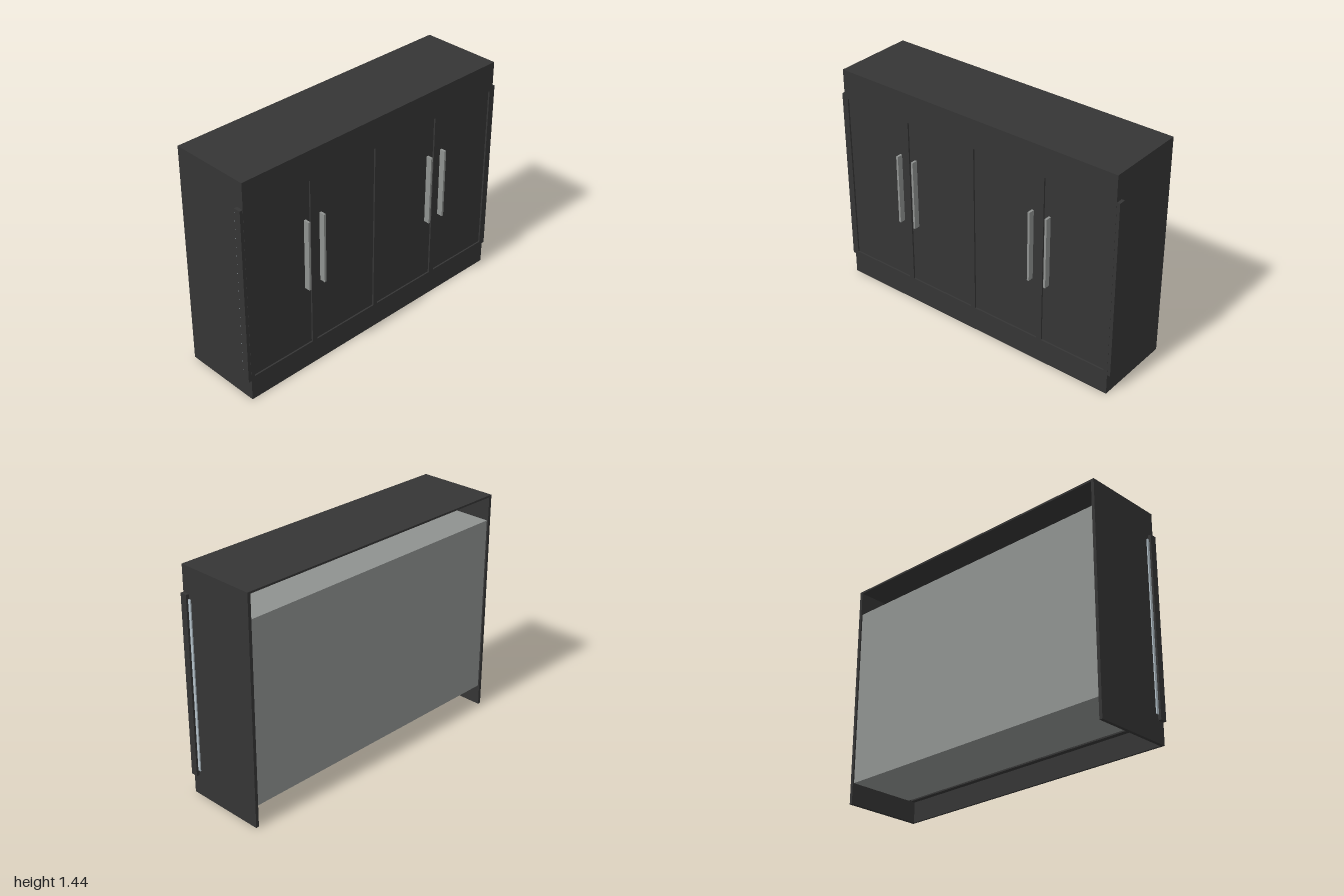
import * as THREE from 'three';

const black = new THREE.MeshStandardMaterial({ color: 0x353535 });
black.name = 'charcoal panel';
const grey = new THREE.MeshStandardMaterial({ color: 0x8f9290 });
grey.name = 'grey metal';
const pale = new THREE.MeshStandardMaterial({ color: 0xb3c0c8 });
pale.name = 'pale gasket';

// Box given by its lower and upper limits on each axis
function slab(name, material, [x0, x1], [y0, y1], [z0, z1]) {
  const mesh = new THREE.Mesh(new THREE.BoxGeometry(x1 - x0, y1 - y0, z1 - z0), material);
  mesh.position.set((x0 + x1) / 2, (y0 + y1) / 2, (z0 + z1) / 2);
  mesh.name = name;
  return mesh;
}

// Rectangular outline for the front board and its openings
function rectangle(path, x0, x1, y0, y1) {
  path.moveTo(x0, y0);
  path.lineTo(x1, y0);
  path.lineTo(x1, y1);
  path.lineTo(x0, y1);
  path.closePath();
  return path;
}

export function createModel() {
  const cabinet = new THREE.Group();
  cabinet.name = 'cabinet';
  const W = 0.98, H = 1.44, back = -0.275, boardBack = 0.235, front = 0.248;

  // Front board with four door openings
  const outline = rectangle(new THREE.Shape(), -W, W, 0, H);
  for (const [a, b] of [[-0.956, -0.512], [-0.476, -0.016], [0.016, 0.476], [0.512, 0.956]]) {
    outline.holes.push(rectangle(new THREE.Path(), a, b, 0.157, 1.253));
  }
  const board = new THREE.Mesh(
    new THREE.ExtrudeGeometry(outline, { depth: front - boardBack, bevelEnabled: false }), black);
  board.position.z = boardBack;
  board.name = 'frontBoard';
  cabinet.add(board);

  // Outer shell, open at the back and underneath
  cabinet.add(slab('top', black, [-W, W], [H - 0.012, H], [back, boardBack]));

  // Recessed door slab, gasket behind it and inner carcass
  cabinet.add(slab('doors', black, [-W, W], [0.133, 1.277], [0.203, 0.238]));
  cabinet.add(slab('gasket', pale, [-0.987, 0.987], [0.167, 1.247], [0.186, 0.204]));
  cabinet.add(slab('carcass', grey, [-0.96, 0.96], [0.133, 1.277], [-0.266, 0.185]));

  for (const s of [-1, 1]) {
    const span = (a, b) => (s > 0 ? [a, b] : [-b, -a]);
    cabinet.add(slab('sidePanel', black, span(0.96, W), [0, H - 0.012], [back, boardBack]));
    // Door edge standing proud of the side
    cabinet.add(slab('doorEdge', black, span(W, 1), [0.133, 1.277], [0.203, 0.247]));
    // Pair of long upright handles
    for (const x of [0.431, 0.547]) {
      cabinet.add(slab('handle', grey, span(x - 0.007, x + 0.007), [0.558, 1.014], [0.236, 0.275]));
    }
  }
  return cabinet;
}
